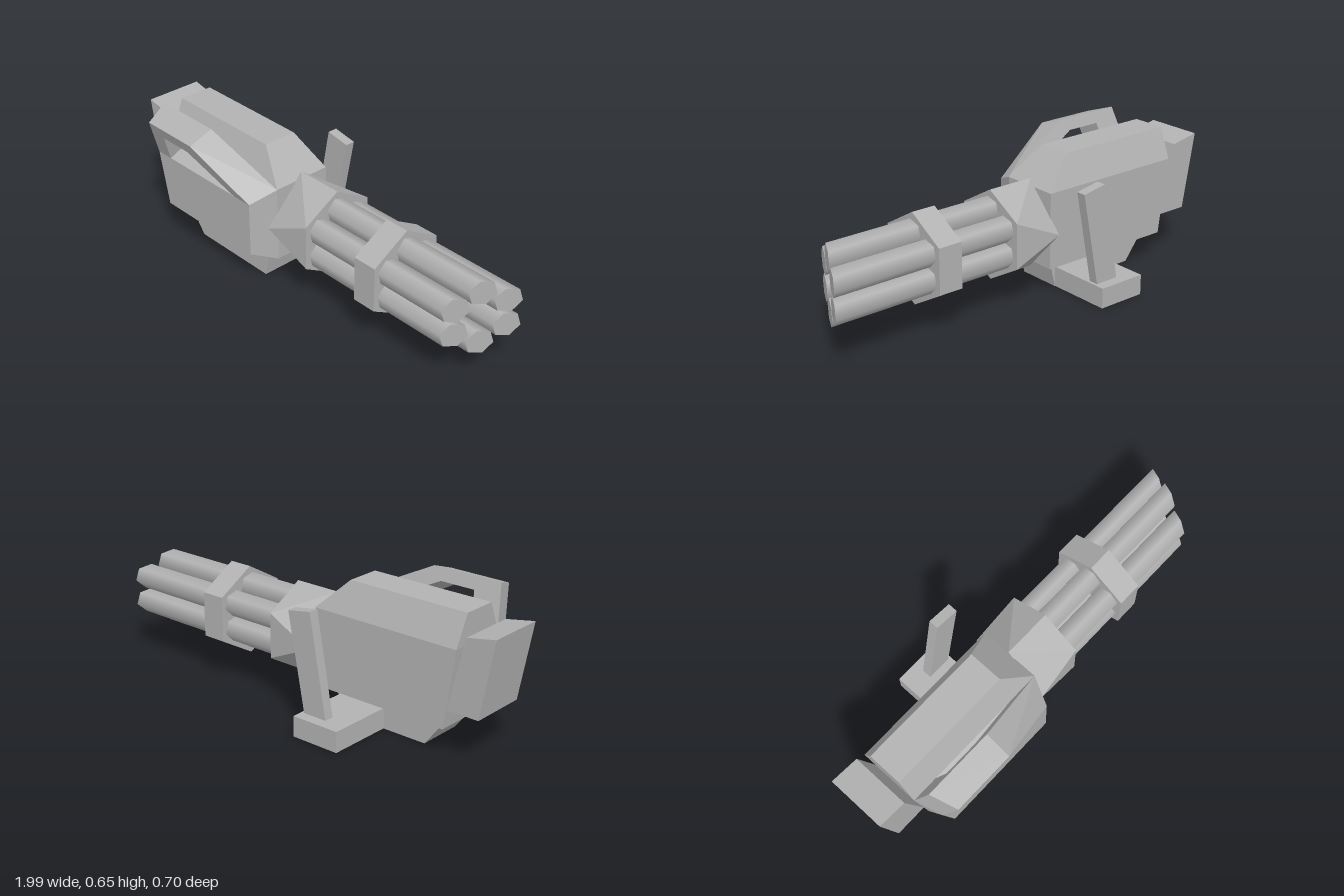
import * as THREE from 'three';
import { ConvexGeometry } from 'three/addons/geometries/ConvexGeometry.js';

const metal = new THREE.MeshStandardMaterial({ color: 0xb2b2b2 });
metal.name = 'grey metal';

const AXIS_Y = 0.307, AXIS_Z = 0.027; // barrel cluster axis

export function createModel() {
  const model = new THREE.Group();

  const add = (name, geometry, parent = model) => {
    const mesh = new THREE.Mesh(geometry, metal);
    mesh.name = name;
    parent.add(mesh);
    return mesh;
  };
  // Flat-sided solid through [x, y, z] corners
  const hull = (name, points, parent) =>
    add(name, new ConvexGeometry(points.map(p => new THREE.Vector3(...p))), parent);
  // Side outline in x, y pulled between two depths
  const slab = (name, outline, z0, z1) =>
    hull(name, outline.flatMap(([x, y]) => [[x, y, z0], [x, y, z1]]));
  // Ring of corners around the barrel axis at a given x, first corner on top
  const ring = (x, sides, ry, rz) => Array.from({ length: sides }, (_, i) => {
    const a = i / sides * Math.PI * 2;
    return [x, AXIS_Y + ry * Math.cos(a), AXIS_Z + rz * Math.sin(a)];
  });

  // Main housing with a roof that narrows and slopes toward the barrels
  hull('housing', [
    [-0.83, 0.617, 0.105], [-0.25, 0.617, 0.105], [-0.83, 0.617, -0.053], [-0.25, 0.617, -0.053],
    [-0.825, 0.48, 0.168], [-0.11, 0.48, 0.168], [-0.825, 0.48, -0.112], [-0.11, 0.48, -0.112],
    [-0.775, 0.13, 0.168], [-0.11, 0.13, 0.168], [-0.775, 0.13, -0.112], [-0.11, 0.13, -0.112],
  ]);

  // Bevelled side bulge
  hull('sidePanel', [
    [-0.825, 0.48, 0.168], [-0.11, 0.48, 0.168], [-0.775, 0.13, 0.168], [-0.11, 0.13, 0.168],
    [-0.785, 0.43, 0.283], [-0.16, 0.43, 0.283], [-0.73, 0.18, 0.283], [-0.16, 0.18, 0.283],
  ]);

  // Shoulder stock, lower magazine and rear support
  slab('stock', [[-1, 0.565], [-0.865, 0.54], [-0.788, 0.215], [-0.937, 0.215]], -0.107, 0.16);
  slab('magazine', [[-0.74, 0.13], [-0.17, 0.13], [-0.2, 0], [-0.64, 0]], -0.043, 0.167);
  slab('gripSupport', [[-0.43, 0.002], [-0.2, 0.002], [-0.2, 0.095], [-0.43, 0.095]], -0.35, -0.043);
  slab('foreGrip', [[-0.33, 0.09], [-0.215, 0.09], [-0.13, 0.525], [-0.245, 0.545]], -0.3, -0.255);

  // Open carry handle, leaning outward from the upper bevel
  // Each station: x of near outer, far outer and inner corners, then outer and inner height
  const stations = [
    [-0.785, -0.825, -0.7, 0, 0],
    [-0.75, -0.79, -0.675, 1, 0.7],
    [-0.46, -0.46, -0.51, 1, 0.7],
    [-0.16, -0.11, -0.26, 0, 0],
  ];
  const near = (x, h) => [x, 0.43 + 0.185 * h, 0.283 + 0.067 * h];
  const far = (x, h) => [x, 0.48 + 0.175 * h, 0.168 + 0.064 * h];
  const section = ([xNear, xFar, xIn, hOut, hIn]) =>
    [near(xNear, hOut), far(xFar, hOut), near(xIn, hIn), far(xIn, hIn)];
  const handle = new THREE.Group();
  handle.name = 'carryHandle';
  model.add(handle);
  ['handleRearPost', 'handleTopBar', 'handleFrontStrut'].forEach((name, i) =>
    hull(name, [...section(stations[i]), ...section(stations[i + 1])], handle));

  // Barrel mount: diamond at the housing, hexagon at the barrels
  hull('barrelMount', [...ring(-0.115, 4, 0.206, 0.191), ...ring(0.11, 6, 0.206, 0.206)]);
  hull('barrelClamp', [...ring(0.4, 6, 0.206, 0.206), ...ring(0.513, 6, 0.206, 0.206)]);

  // Six barrels with muzzles cut along one slanted plane
  const barrels = new THREE.Group();
  barrels.name = 'barrels';
  model.add(barrels);
  for (const [, y, z] of ring(0, 6, 0.118, 0.118)) {
    const geometry = new THREE.CylinderGeometry(0.058, 0.058, 0.9, 6);
    geometry.rotateZ(-Math.PI / 2).rotateX(-Math.PI / 12).translate(0.5, y, z);
    const pos = geometry.attributes.position;
    const normal = geometry.attributes.normal;
    const cut = new THREE.Vector3(1, 0, 0.45).normalize();
    for (let i = 0; i < pos.count; i++) {
      if (pos.getX(i) < 0.5) continue;
      pos.setX(i, 0.92 - 0.45 * (pos.getZ(i) - AXIS_Z));
      if (normal.getX(i) > 0.9) normal.setXYZ(i, cut.x, cut.y, cut.z);
    }
    add('barrel', geometry, barrels);
  }

  return model;
}
